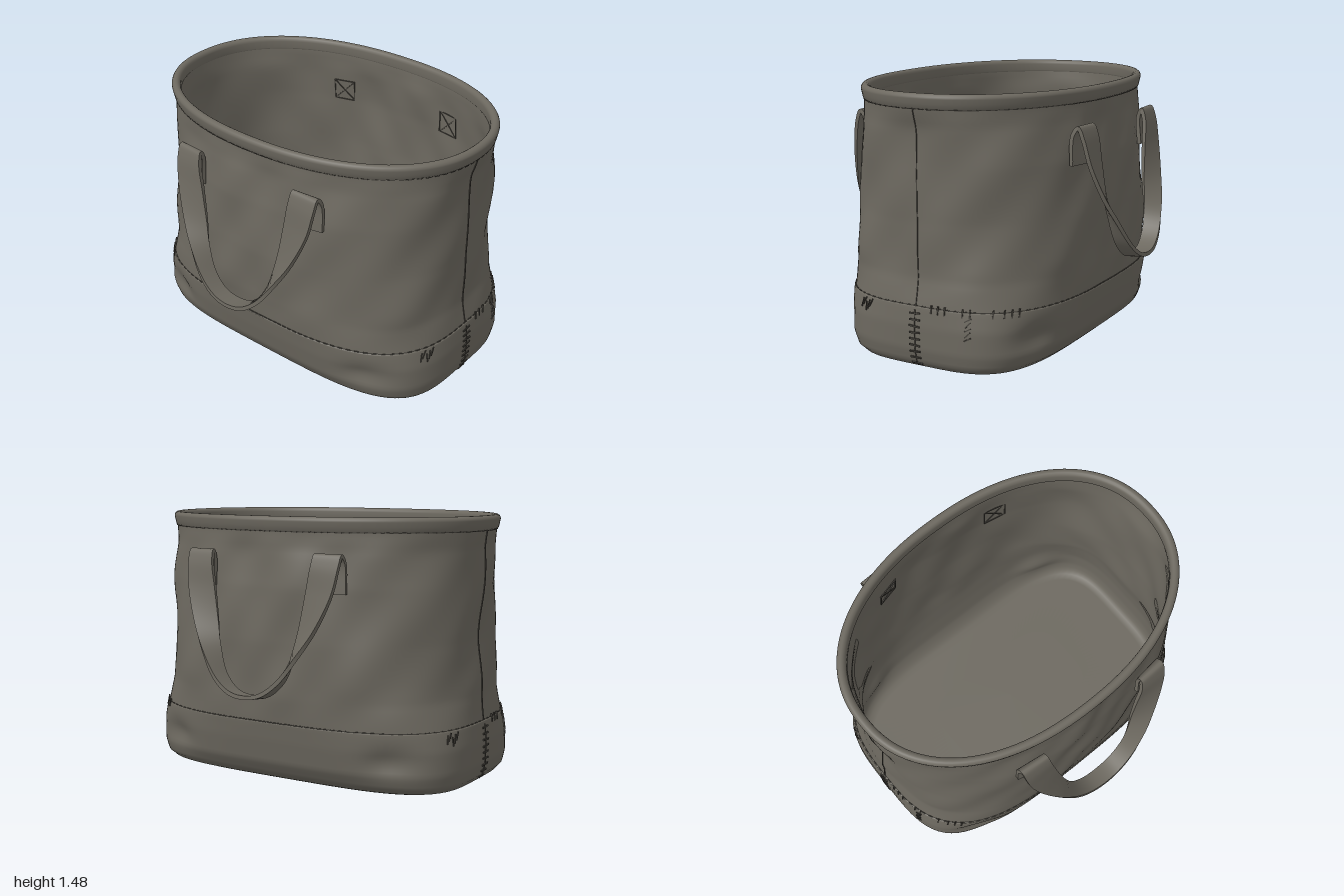
import * as THREE from 'three';
import { mergeGeometries } from 'three/addons/utils/BufferGeometryUtils.js';

const SEG = 160;

// Outline of the bag by height: y, half width, half depth, squareness
const KEYS = [
  [0, 0.9, 0.5, 3.8], [0.02, 0.945, 0.55, 4], [0.05, 0.968, 0.585, 4], [0.12, 0.984, 0.63, 3.7],
  [0.25, 0.986, 0.658, 3.4], [0.36, 0.976, 0.676, 3], [0.5, 0.955, 0.69, 2.7], [0.8, 0.945, 0.7, 2.5],
  [1.1, 0.952, 0.693, 2.4], [1.3, 0.96, 0.672, 2.3], [1.4, 0.978, 0.672, 2.2], [1.48, 0.985, 0.68, 2.2],
];

function outline(y) {
  let i = 0;
  while (i < KEYS.length - 2 && y > KEYS[i + 1][0]) i++;
  const p = KEYS[i], q = KEYS[i + 1];
  const t = THREE.MathUtils.clamp((y - p[0]) / (q[0] - p[0]), 0, 1);
  return [1, 2, 3].map((k) => p[k] + (q[k] - p[k]) * t);
}

// Soft cloth folds, fading towards hem and base, plus a dent near each base corner
function folds(a, y) {
  const fade = THREE.MathUtils.smoothstep(y, 0.3, 0.6) * (1 - THREE.MathUtils.smoothstep(y, 1.25, 1.42));
  const wave = 0.009 * Math.sin(5 * a + 4 * y) * Math.sin(6 * y + 1)
    + 0.006 * Math.sin(9 * a - 7 * y + 1) + 0.004 * Math.sin(14 * a + 13 * y);
  const corner = Math.atan2(Math.abs(Math.sin(a)), Math.abs(Math.cos(a)));
  const dent = -0.04 * Math.exp(-(((corner - 0.68) / 0.13) ** 2) - ((y - 0.2) / 0.08) ** 2);
  return wave * fade + dent;
}

// Point on the cloth at an angle and height, moved outward by "out"
function cloth(a, y, out = 0, scale = 1) {
  const [w, d, n] = outline(y);
  const c = Math.cos(a), s = Math.sin(a);
  const r = (Math.abs(c / w) ** n + Math.abs(s / d) ** n) ** (-1 / n);
  const R = (r + folds(a, y) + out) * scale;
  return new THREE.Vector3(c * R, y, s * R);
}

// Surface through closed or open rows of points
function loft(rows, closed) {
  const n = rows[0].length, pos = [], idx = [];
  rows.forEach((row) => row.forEach((p) => pos.push(p.x, p.y, p.z)));
  for (let i = 0; i < rows.length - 1; i++) {
    for (let j = 0; j < (closed ? n : n - 1); j++) {
      const k = (j + 1) % n;
      const a = i * n + j, b = a + n, c = i * n + k, d = c + n;
      idx.push(a, b, c, c, b, d);
    }
  }
  const g = new THREE.BufferGeometry();
  g.setAttribute('position', new THREE.Float32BufferAttribute(pos, 3));
  g.setIndex(idx);
  g.computeVertexNormals();
  return g;
}

// Ring loft from rows of [surface height, outward offset, scale, lift]
function shell(rows) {
  return loft(rows.map(([y, out, scale = 1, lift = 0]) =>
    Array.from({ length: SEG }, (_, j) => {
      const p = cloth((j / SEG) * Math.PI * 2, y, out, scale);
      p.y += lift;
      return p;
    })), true);
}

const span = (from, to, count, out) =>
  Array.from({ length: count + 1 }, (_, i) => [from + ((to - from) * i) / count, out]);

// Small thread lying on the cloth
function thread(a, y, length, turn, out, width = 0.008) {
  const p = cloth(a, y, out);
  const du = cloth(a + 0.01, y, out).sub(cloth(a - 0.01, y, out));
  const dv = cloth(a, y + 0.01, out).sub(cloth(a, y - 0.01, out));
  const o = new THREE.Object3D();
  o.position.copy(p);
  o.lookAt(p.clone().add(dv.cross(du)));
  o.rotateZ(turn);
  o.updateMatrix();
  return new THREE.BoxGeometry(length, width, 0.008).applyMatrix4(o.matrix);
}

// One strap edge: sewn tab, fold, and hanging half, mirrored to the other tab
function strapEdge(half) {
  const pts = half.map((p) => new THREE.Vector3(...p));
  const other = pts.slice(0, -1).reverse().map((p) => new THREE.Vector3(-p.x, p.y, p.z));
  return new THREE.CatmullRomCurve3([...pts, ...other]);
}

function strapGeometry() {
  const outer = strapEdge([[0.49, 1.08, 0.655], [0.49, 1.24, 0.66], [0.487, 1.28, 0.69], [0.483, 1.22, 0.718],
    [0.46, 1.08, 0.75], [0.39, 0.9, 0.8], [0.31, 0.765, 0.845], [0.2, 0.62, 0.882], [0.1, 0.55, 0.897], [0, 0.532, 0.902]]);
  const inner = strapEdge([[0.33, 1.08, 0.69], [0.33, 1.24, 0.68], [0.326, 1.28, 0.7], [0.318, 1.22, 0.722],
    [0.295, 1.08, 0.732], [0.265, 0.9, 0.746], [0.24, 0.775, 0.765], [0.19, 0.625, 0.785], [0.1, 0.54, 0.797], [0, 0.52, 0.8]]);
  const N = 120, sections = [];
  for (let i = 0; i <= N; i++) {
    const t = i / N;
    const a = outer.getPoint(t), b = inner.getPoint(t);
    const across = b.clone().sub(a);
    const along = outer.getTangent(t).add(inner.getTangent(t));
    const h = across.cross(along).normalize().multiplyScalar(0.011);
    sections.push([a.clone().add(h), b.clone().add(h), b.clone().sub(h), a.clone().sub(h)]);
  }
  // Four separate faces keep the strap edges crisp
  const faces = [0, 1, 2, 3].map((k) => loft(sections.map((s) => [s[k], s[(k + 1) % 4]]), false));
  const caps = [sections[0], sections[N]].map((s) => loft([[s[0], s[1]], [s[3], s[2]]], false));
  return mergeGeometries([...faces, ...caps]);
}

export function createModel() {
  const bag = new THREE.Group();
  bag.name = 'toteBag';
  const canvas = new THREE.MeshStandardMaterial({ color: 0x6c685f, side: THREE.DoubleSide });
  canvas.name = 'canvas';
  const threadColor = new THREE.MeshStandardMaterial({ color: 0x45423c });
  threadColor.name = 'darkThread';
  const add = (name, geometry, material = canvas, parent = bag) => {
    const m = new THREE.Mesh(geometry, material);
    m.name = name;
    parent.add(m);
    return m;
  };

  // Reinforced base with a small lip along its upper edge
  add('basePanel', shell([[0, 0, 0], [0, 0, 0.5], [0, 0, 0.9], [0, 0], [0.008, 0.004], [0.02, 0.006], [0.035, 0.006],
    ...span(0.05, 0.35, 16, 0.007), [0.356, 0.006], [0.358, -0.004]]));

  // Outer wall, rolled hem and lining
  add('outerWall', shell(span(0.345, 1.41, 50, 0)));
  const hem = [];
  for (let i = 0; i <= 8; i++) {
    const t = (i / 8) * Math.PI;
    hem.push([1.45, -0.012 + 0.026 * Math.cos(t), 1, 0.026 * Math.sin(t)]);
  }
  add('rolledHem', shell([[1.395, 0], [1.402, 0.008], [1.425, 0.011], ...hem, [1.41, -0.036], [1.4, -0.028]]));
  add('lining', shell([...span(1.42, 0.06, 50, -0.03), [0.04, -0.04], [0.03, -0.07], [0.03, 0, 0.5], [0.03, 0, 0]]));

  // Straps, front and back
  for (const [name, turn] of [['frontStrap', 0], ['backStrap', Math.PI]]) {
    add(name, strapGeometry()).rotation.y = turn;
  }

  // Running stitches under the hem and around the base
  const running = [];
  for (let i = 0; i < 130; i++) {
    const a = (i / 130) * Math.PI * 2;
    running.push(thread(a, 1.396, 0.026, 0, 0.001, 0.005));
    running.push(thread(a, 0.359, 0.026, 0, 0, 0.004));
  }
  add('runningStitches', mergeGeometries(running), threadColor);

  // Side seams, ladder stitches and mends at both ends
  for (const [name, end] of [['leftEndStitches', 0], ['rightEndStitches', Math.PI]]) {
    const parts = [];
    for (let i = 0; i < 37; i++) parts.push(thread(end, 0.375 + i * 0.029, 0.032, Math.PI / 2, 0, 0.006));
    for (let i = 0; i < 9; i++) {
      parts.push(thread(end, 0.04 + i * 0.035, 0.065, 0.06 * (i % 3 - 1), 0.009, 0.009));
      parts.push(thread(end, 0.04 + i * 0.035, 0.036, Math.PI / 2, 0.007, 0.006));
    }
    for (const z of [-0.1, -0.14, -0.18, -0.28, -0.32, -0.44, -0.5, -0.54, -0.58]) {
      parts.push(thread(end + z, 0.352, 0.045, Math.PI / 2 + z * 0.3, 0.007));
    }
    for (let i = 0; i < 5; i++) {
      parts.push(thread(end + 0.3 + 0.018 * i, 0.325 - 0.012 * (i % 3), 0.05, 1.1 + 0.25 * (i % 3), 0.008, 0.006));
      parts.push(thread(end - 0.31, 0.32 - i * 0.025, 0.04, 0.5 + 0.3 * (i % 2), 0.008, 0.006));
    }
    add(name, mergeGeometries(parts), threadColor);
  }

  // Crossed box stitching inside, behind each strap tab
  for (const [name, side] of [['frontTabStitches', 1], ['backTabStitches', -1]]) {
    const parts = [];
    for (const x of [-0.41, 0.41]) {
      const a = Math.atan2(side * 0.66, x), step = 0.085;
      for (const s of [-1, 1]) {
        parts.push(thread(a, 1.16 + s * 0.065, 0.13, 0, -0.031, 0.006));
        parts.push(thread(a + s * step, 1.16, 0.13, Math.PI / 2, -0.031, 0.006));
        parts.push(thread(a, 1.16, 0.18, s * Math.PI / 4, -0.031, 0.006));
      }
    }
    add(name, mergeGeometries(parts), threadColor);
  }
  return bag;
}
